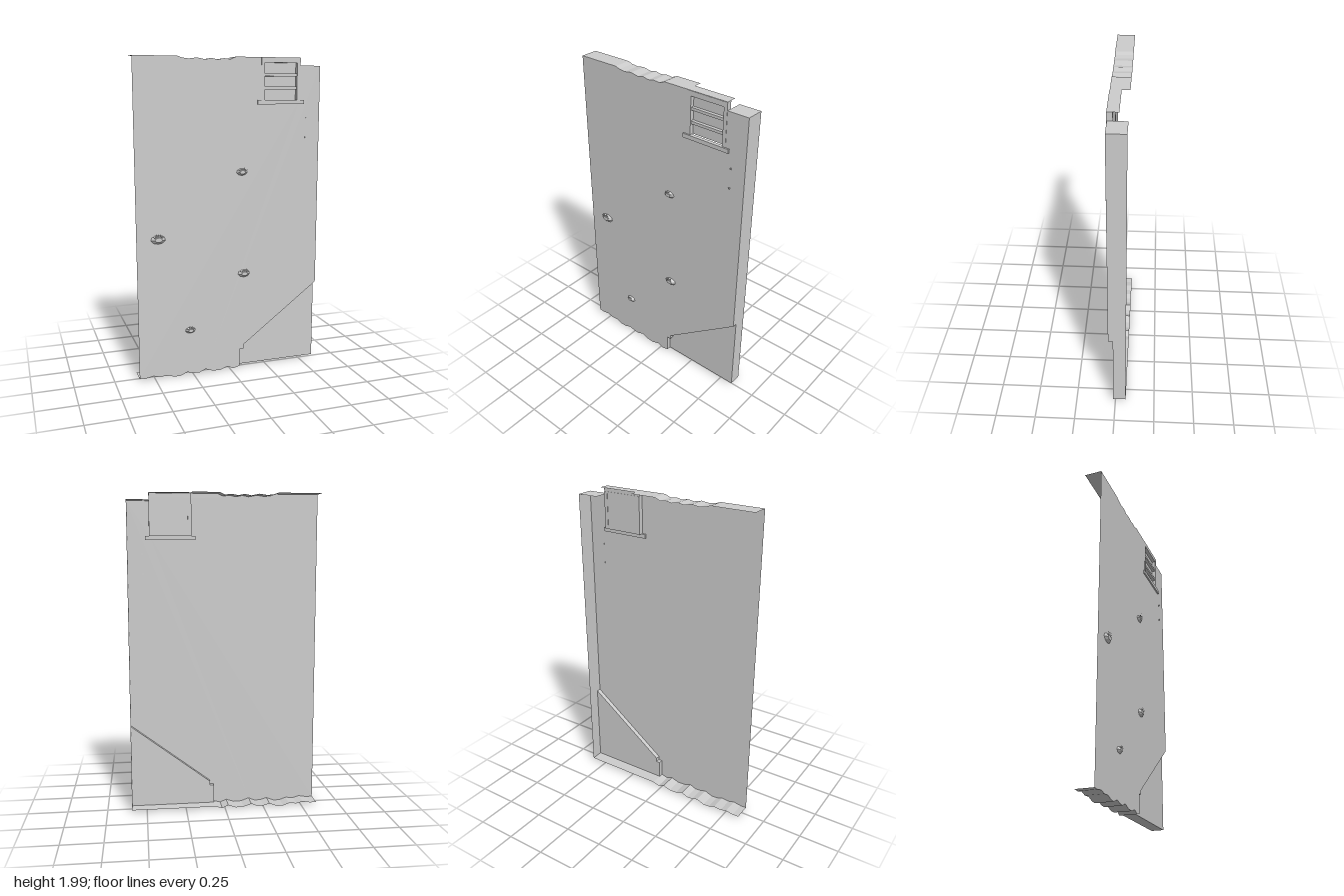
import * as THREE from 'three';

const FRONT = 0.043, BACK = -0.066, RECESS = 0.014;

export function createModel() {
  const model = new THREE.Group();
  const grey = new THREE.MeshStandardMaterial({ color: 0xcccccc, side: THREE.DoubleSide, flatShading: true });
  grey.name = 'plain grey';

  const add = (geometry, name, parent = model) => {
    const mesh = new THREE.Mesh(geometry, grey);
    mesh.name = name;
    parent.add(mesh);
    return mesh;
  };
  const shapeOf = (pts) => new THREE.Shape(pts.map(([x, y]) => new THREE.Vector2(x, y)));
  // Flat sheet facing +z
  const sheet = (shape, z, name) => add(new THREE.ShapeGeometry(shape).translate(0, 0, z), name);
  // Strip following a path in x and y, running from z0 to z1
  const strip = (pts, z0, z1, name) => {
    const v = [];
    for (let i = 0; i < pts.length - 1; i++) {
      const [a, b] = pts[i], [c, d] = pts[i + 1];
      v.push(a, b, z0, c, d, z0, c, d, z1, a, b, z0, c, d, z1, a, b, z1);
    }
    const g = new THREE.BufferGeometry();
    g.setAttribute('position', new THREE.Float32BufferAttribute(v, 3));
    g.computeVertexNormals();
    return add(g, name);
  };
  // Box given by its limits
  const box = (x0, x1, y0, y1, z0, z1, name, parent) =>
    add(new THREE.BoxGeometry(x1 - x0, y1 - y0, z1 - z0)
      .translate((x0 + x1) / 2, (y0 + y1) / 2, (z0 + z1) / 2), name, parent);

  // Outline paths
  const bottom = [[-0.6, 0.022], [-0.56, 0.02], [-0.51, 0.029], [-0.47, 0.018], [-0.42, 0.022], [-0.38, 0.008],
    [-0.34, 0.006], [-0.29, 0.026], [-0.25, 0.014], [-0.21, 0.012], [-0.17, 0.03], [-0.12, 0.012],
    [-0.07, 0.01], [-0.02, 0.027], [0.02, 0.01], [0.065, 0.022]];
  const step = [[0.065, 0.022], [0.065, 0.138], [0.09, 0.138], [0.09, 0.165], [0.595, 0.547]];
  const top = [[0.035, 2], [0, 1.985], [-0.04, 1.99], [-0.08, 1.982], [-0.12, 1.99], [-0.16, 1.982],
    [-0.21, 1.992], [-0.26, 1.985], [-0.3, 1.99], [-0.33, 2], [-0.6, 2]];

  // Front wall with openings for the window and sill
  const wall = shapeOf([...bottom, ...step.slice(1), [0.595, 1.952], [0.46, 1.952], [0.46, 2], ...top]);
  wall.holes.push(new THREE.Path([[0.2, 1.74], [0.46, 1.74], [0.46, 1.951], [0.458, 1.97], [0.2, 1.97]]
    .map(([x, y]) => new THREE.Vector2(Math.min(x, 0.456), y))));
  sheet(wall, FRONT, 'frontWall');

  // Recessed corner and the step around it
  sheet(shapeOf([...step, [0.595, 0.022]]), RECESS, 'recessedCorner');
  strip(step, FRONT, RECESS, 'cornerStep');

  // Edges turned back from the wall
  strip(bottom, FRONT, BACK, 'wavyBottomEdge');
  strip([[0.065, 0.022], [0.595, 0.022]], RECESS, BACK, 'flatBottomEdge');
  strip([[0.2, 2], ...top], FRONT, BACK, 'wavyTopEdge');
  strip([[0.46, 1.952], [0.595, 1.952], [0.595, 0.547]], FRONT, BACK, 'rightEdge');
  strip([[0.595, 0.547], [0.595, 0.022]], RECESS, BACK, 'lowerRightEdge');
  strip([[0.2, 2], [0.46, 2]], FRONT, -0.02, 'windowTopEdge');
  strip([[0.46, 2], [0.46, 1.952]], FRONT, RECESS, 'windowSideEdge');

  // Window with frame, rails and sill
  const win = new THREE.Group();
  win.name = 'window';
  model.add(win);
  box(0.2, 0.46, 1.74, 1.97, 0.014, 0.02, 'windowPane', win);
  box(0.2, 0.46, 1.968, 1.998, 0.016, 0.045, 'windowHeader', win);
  for (const x of [0.2, 0.438]) box(x, x + 0.022, 1.74, 1.968, 0.012, 0.045, 'windowStile', win);
  for (const y of [1.806, 1.886]) box(0.222, 0.438, y, y + 0.017, 0.018, 0.04, 'windowRail', win);
  box(0.175, 0.485, 1.716, 1.741, 0.03, 0.053, 'windowSill', win);

  // Small ledges with grass blades
  const ledges = [[-0.465, 0.912, 0.046], [0.075, 1.305, 0.036], [0.09, 0.652, 0.04], [-0.268, 0.31, 0.033]];
  for (const [x, y, r] of ledges) {
    const ledge = new THREE.Group();
    ledge.name = 'grassyLedge';
    ledge.position.set(x, y, FRONT);
    model.add(ledge);
    const rock = new THREE.CylinderGeometry(r * 0.5, r, 0.017, 9).rotateX(Math.PI / 2)
      .scale(1, 0.62, 1).translate(0, -r * 0.1, 0.0085);
    add(rock, 'rock', ledge);
    for (let i = 0; i < 7; i++) {
      const a = (i / 6 - 0.5) * 2.1, len = r * (i % 2 ? 0.8 : 0.95);
      const blade = new THREE.BufferGeometry();
      const bx = Math.sin(a) * r * 0.4;
      blade.setAttribute('position', new THREE.Float32BufferAttribute([
        bx - r * 0.1, 0, 0.01, bx + r * 0.1, 0, 0.01, Math.sin(a) * len, Math.cos(a) * len, 0.022], 3));
      blade.computeVertexNormals();
      add(blade, 'grassBlade', ledge);
    }
  }

  // Two tiny pegs below the window
  box(0.5, 0.508, 1.625, 1.633, FRONT - 0.003, 0.05, 'upperPeg');
  box(0.497, 0.505, 1.503, 1.511, FRONT - 0.003, 0.05, 'lowerPeg');

  return model;
}
